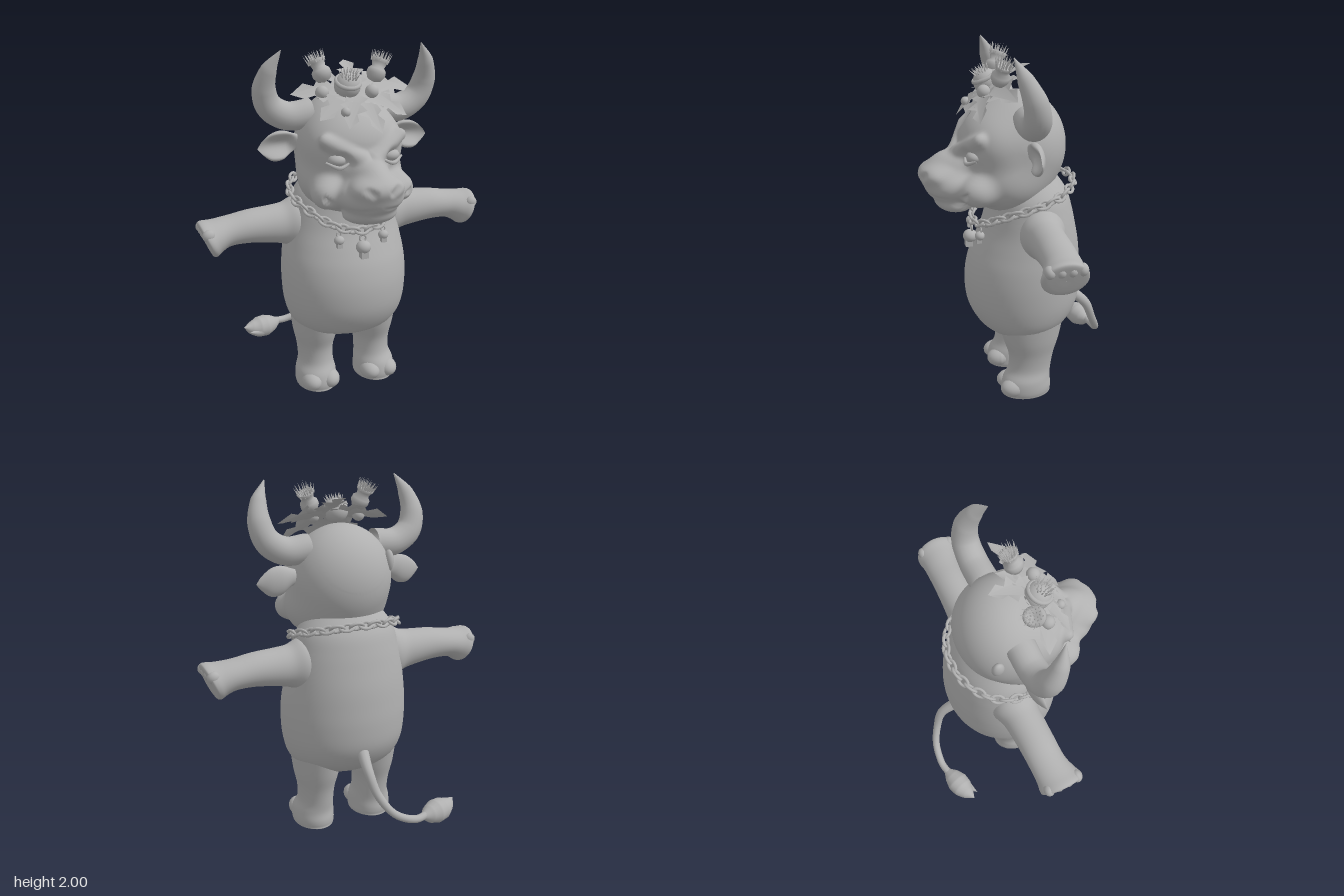
import * as THREE from 'three';
import { mergeVertices, mergeGeometries } from 'three/addons/utils/BufferGeometryUtils.js';

const clay = new THREE.MeshStandardMaterial({ color: 0xb0b0b0, side: THREE.DoubleSide });
clay.name = 'grey clay';
const V = (a) => new THREE.Vector3(...a);

// Weld seams and recompute smooth normals
function smooth(geo) {
  geo.deleteAttribute('uv');
  geo.deleteAttribute('normal');
  const g = mergeVertices(geo, 1e-5);
  g.computeVertexNormals();
  return g;
}
function deform(geo, rule) {
  const p = geo.attributes.position, v = new THREE.Vector3();
  for (let i = 0; i < p.count; i++) {
    rule(v.fromBufferAttribute(p, i), i);
    p.setXYZ(i, v.x, v.y, v.z);
  }
  return geo;
}
function mirror(geo) {
  const g = geo.clone().scale(-1, 1, 1), ix = g.index.array;
  for (let i = 0; i < ix.length; i += 3) [ix[i], ix[i + 1]] = [ix[i + 1], ix[i]];
  g.computeVertexNormals();
  return g;
}
const ball = (c, r, w = 24, h = 16) => new THREE.SphereGeometry(1, w, h).scale(...r).translate(...c);

// Loft through sections [t, a, b, ra, rb]; axis 'y' uses a=x b=z, axis 'x' uses a=z b=y
function loft(sections, axis, n = 40, steps = 5) {
  const pos = [], idx = [], last = sections.length - 1, rows = last * steps;
  for (let i = 0; i <= rows; i++) {
    const k = Math.min(Math.floor(i / steps), last - 1), f = i / steps - k;
    const at = (j) => sections[Math.max(0, Math.min(last, j))];
    const [t, a, b, ra, rb] = at(k).map((_, m) => {
      const [p, q, r, s] = [-1, 0, 1, 2].map((d) => at(k + d)[m]);
      return q + 0.5 * f * (r - p + f * (2 * p - 5 * q + 4 * r - s + f * (3 * (q - r) + s - p)));
    });
    for (let j = 0; j < n; j++) {
      const w = (j / n) * Math.PI * 2, A = a + ra * Math.cos(w), B = b + rb * Math.sin(w);
      pos.push(...(axis === 'y' ? [A, Math.max(0, t), B] : [t, B, A]));
      if (i < rows) {
        const p = i * n + j, q = i * n + (j + 1) % n;
        idx.push(p, p + n, q, q, p + n, q + n);
      }
    }
  }
  const g = new THREE.BufferGeometry();
  g.setAttribute('position', new THREE.Float32BufferAttribute(pos, 3));
  g.setIndex(idx);
  g.computeVertexNormals();
  return g;
}

// Tube whose radius follows a list of values
function sweep(points, radii, seg = 40, n = 20) {
  const curve = new THREE.CatmullRomCurve3(points.map(V));
  const g = new THREE.TubeGeometry(curve, seg, 1, n);
  return smooth(deform(g, (v, i) => {
    const t = Math.floor(i / (n + 1)) / seg, x = t * (radii.length - 1);
    const k = Math.min(Math.floor(x), radii.length - 2);
    const c = curve.getPointAt(t);
    v.sub(c).multiplyScalar(THREE.MathUtils.lerp(radii[k], radii[k + 1], x - k)).add(c);
  }));
}

// Head: sphere whose vertices are pulled onto a soft blend of ellipsoids
function headGeometry() {
  const lumps = [ // centre, radii, blend
    [0, 1.46, 0, 0.285, 0.3, 0.262, 0.05], [0, 1.3, 0.08, 0.293, 0.205, 0.24, 0.07], // skull, jaw
    [0, 1.49, 0.14, 0.265, 0.19, 0.19, 0.07], [0, 1.27, 0.37, 0.18, 0.11, 0.16, 0.06], // brow, muzzle
    [0, 1.37, 0.33, 0.1, 0.09, 0.17, 0.06], [0, 1.325, 0.46, 0.145, 0.07, 0.098, 0.03], // bridge, nose
    [0, 1.165, 0.36, 0.15, 0.055, 0.11, 0.04], [0.2, 1.26, 0.26, 0.085, 0.08, 0.1, 0.05]]; // chin, cheek
  const capsule = (p, a, b, r) => {
    const ab = b.clone().sub(a), ap = p.clone().sub(a);
    const h = THREE.MathUtils.clamp(ap.dot(ab) / ab.lengthSq(), 0, 1);
    return ap.addScaledVector(ab, -h).length() - r;
  };
  const smin = (a, b, k) => Math.min(a, b) - Math.max(k - Math.abs(a - b), 0) ** 2 / (4 * k);
  const browA = V([0.035, 1.45, 0.345]), browB = V([0.21, 1.545, 0.26]);
  const lip = [[0, 1.222, 0.54], [0.12, 1.21, 0.48], [0.19, 1.215, 0.4], [0.24, 1.26, 0.33]].map(V);
  const nostril = [V([0.06, 1.315, 0.56]), V([0.09, 1.345, 0.55])];
  const field = (q) => {
    const p = q.clone();
    p.x = Math.abs(p.x);
    let d = 1;
    for (const [x, y, z, a, b, c, k] of lumps) {
      const u = V([(p.x - x) / a, (p.y - y) / b, (p.z - z) / c]), l = u.length();
      const e = l * (l - 1) / Math.max(1e-6, V([u.x / a, u.y / b, u.z / c]).length());
      d = smin(d, e, k);
    }
    d = smin(d, capsule(p, browA, browB, 0.034), 0.03);
    const carve = (s, k) => { d = -smin(-d, s, k); };
    carve(p.distanceTo(V([0.15, 1.445, 0.345])) - 0.042, 0.03);
    carve(capsule(p, ...nostril, 0.026), 0.015);
    for (let i = 0; i < 3; i++) carve(capsule(p, lip[i], lip[i + 1], 0.011), 0.015);
    return d;
  };
  const O = V([0, 1.37, 0.12]);
  const g = smooth(new THREE.SphereGeometry(1, 128, 110).rotateX(Math.PI / 2));
  deform(g, (v) => {
    const dir = v.clone().normalize();
    let r = 0.75;
    for (let i = 0; i < 60; i++) {
      const d = field(v.copy(O).addScaledVector(dir, r));
      if (Math.abs(d) < 5e-4) break;
      r -= d * 0.75;
    }
  });
  g.computeVertexNormals();
  return g;
}

export function createModel() {
  const root = new THREE.Group();
  const add = (name, geo, parent = root) => {
    const m = new THREE.Mesh(geo, clay);
    m.name = name;
    parent.add(m);
    return m;
  };
  const pair = (name, geo) => { add(name + 'Left', geo); add(name + 'Right', mirror(geo)); };

  add('torso', loft([[0.335, 0, -0.03, 0.01, 0.01], [0.35, 0, -0.03, 0.15, 0.12], [0.385, 0, -0.01, 0.26, 0.21],
    [0.45, 0, -0.015, 0.325, 0.275], [0.55, 0, -0.02, 0.355, 0.322], [0.68, 0, -0.022, 0.365, 0.333],
    [0.8, 0, -0.03, 0.36, 0.32], [0.9, 0, -0.045, 0.345, 0.296], [1, 0, -0.058, 0.327, 0.265],
    [1.1, 0, -0.06, 0.305, 0.242], [1.2, 0, -0.055, 0.275, 0.215], [1.3, 0, -0.05, 0.2, 0.15]], 'y', 64));
  add('head', headGeometry());
  pair('eye', ball([0.15, 1.445, 0.275], [0.05, 0.034, 0.045]));
  pair('lowerEyelid', sweep([[0.09, 1.435, 0.315], [0.15, 1.41, 0.32], [0.215, 1.435, 0.28]], [0.006, 0.012, 0.006], 16, 8));

  // Limbs
  pair('leg', loft([[0, 0.185, 0, 0.001, 0.001], [0, 0.185, 0, 0.1, 0.13], [0.015, 0.185, 0, 0.117, 0.143],
    [0.05, 0.187, 0, 0.12, 0.147], [0.1, 0.186, -0.003, 0.116, 0.138], [0.16, 0.18, -0.022, 0.102, 0.126],
    [0.25, 0.18, -0.032, 0.106, 0.132], [0.35, 0.178, -0.032, 0.128, 0.162], [0.48, 0.18, -0.03, 0.14, 0.19]], 'y'));
  for (const x of [0.132, 0.238]) pair('toe', ball([x, 0.058, 0.085], [0.06, 0.055, 0.077]));
  const arm = loft([[0.2, -0.07, 1, 0.12, 0.13], [0.28, -0.067, 1.01, 0.13, 0.148], [0.35, -0.064, 1.012, 0.11, 0.12],
    [0.42, -0.062, 1.016, 0.104, 0.107], [0.55, -0.06, 1.02, 0.1, 0.093], [0.66, -0.058, 1.01, 0.1, 0.084],
    [0.73, -0.047, 0.995, 0.112, 0.09], [0.775, -0.04, 0.985, 0.125, 0.1], [0.798, -0.04, 0.98, 0.115, 0.092],
    [0.803, -0.04, 0.98, 0.06, 0.05], [0.803, -0.04, 0.98, 0.001, 0.001]], 'x');
  deform(arm, (v) => { v.x += (v.y - 0.98) * 0.38 * THREE.MathUtils.smoothstep(v.x, 0.62, 0.8); });
  arm.computeVertexNormals();
  pair('arm', arm);
  for (const z of [0.045, -0.012, -0.069, -0.124]) pair('knuckle', ball([0.795, 1.03, z], [0.036, 0.034, 0.03], 16, 12));

  // Horns and cupped ears
  pair('horn', sweep([[0.2, 1.64, 0], [0.33, 1.635, 0], [0.425, 1.69, 0.005], [0.46, 1.78, 0.025], [0.447, 1.89, 0.07],
    [0.393, 2, 0.12]], [0.08, 0.078, 0.073, 0.063, 0.042, 0.002]));
  const ear = loft([[0.24, 0, 1.49, 0.025, 0.03], [0.3, 0, 1.49, 0.035, 0.05], [0.36, 0, 1.478, 0.045, 0.08],
    [0.42, 0, 1.47, 0.038, 0.075], [0.47, 0, 1.47, 0.018, 0.037], [0.497, 0, 1.468, 0.002, 0.003]], 'x');
  deform(ear, (v) => {
    if (v.z > 0) v.z *= 1 - 1.5 * Math.max(0, 1 - ((v.y - 1.478) / 0.07) ** 2) * THREE.MathUtils.smoothstep(v.x, 0.26, 0.33);
  });
  ear.computeVertexNormals();
  pair('ear', ear);
  add('napeDrop', ball([-0.225, 1.56, -0.14], [0.026, 0.06, 0.035]));

  // Tail with pointed tuft
  add('tail', sweep([[0.02, 0.54, -0.31], [0.03, 0.45, -0.41], [0, 0.33, -0.465], [-0.08, 0.22, -0.52], [-0.2, 0.17, -0.54],
    [-0.29, 0.175, -0.525]], [0.035, 0.028, 0.024, 0.022, 0.022, 0.022], 40, 12));
  add('tailTuft', sweep([[-0.25, 0.17, -0.535], [-0.33, 0.165, -0.51], [-0.42, 0.17, -0.485], [-0.5, 0.195, -0.455]],
    [0.015, 0.05, 0.068, 0.064, 0.04, 0.002]));
  add('tuftStrand', sweep([[-0.32, 0.17, -0.49], [-0.4, 0.15, -0.455], [-0.47, 0.17, -0.42]], [0.03, 0.03, 0.001], 14, 10));

  // Chain collar
  const half = [[0.15, 1.065, 0.225], [0.26, 1.13, 0.11], [0.305, 1.18, -0.02], [0.265, 1.22, -0.17], [0.14, 1.25, -0.275]];
  const loop = new THREE.CatmullRomCurve3([[0, 1.03, 0.26], ...half, [0, 1.26, -0.305],
    ...half.map(([x, y, z]) => [-x, y, z]).reverse()].map(V), true);
  const linkGeo = new THREE.TorusGeometry(0.022, 0.0085, 8, 16).scale(1.5, 1, 1);
  const collar = new THREE.Group();
  collar.name = 'chainCollar';
  root.add(collar);
  for (let i = 0; i < 36; i++) {
    const link = add('chainLink', linkGeo, collar);
    link.position.copy(loop.getPointAt(i / 36));
    const t = loop.getTangentAt(i / 36);
    const out = V([link.position.x, 0.1, link.position.z + 0.03]).cross(t).cross(t).negate().normalize();
    link.quaternion.setFromRotationMatrix(new THREE.Matrix4().makeBasis(t, out.clone().cross(t).negate(), out.clone().negate()));
    link.quaternion.setFromRotationMatrix(new THREE.Matrix4().makeBasis(t, out.clone().cross(t), t.clone().cross(out.clone().cross(t))));
    link.rotateX(i % 2 ? 0.9 : -0.5);
  }
  for (const [x, y, z, s] of [[0, 0.94, 0.28, 1], [0.13, 0.985, 0.25, 0.68], [-0.13, 0.985, 0.25, 0.68]]) {
    const skull = new THREE.Group();
    skull.name = 'skullCharm';
    add('cranium', ball([0, 0, 0], [0.042, 0.037, 0.04]), skull);
    add('jaw', new THREE.BoxGeometry(0.042, 0.04, 0.04).translate(0, -0.04, 0.008), skull);
    add('hanger', new THREE.TorusGeometry(0.018, 0.006, 8, 14).translate(0, 0.05, -0.01), skull);
    skull.position.set(x, y, z);
    skull.scale.setScalar(s);
    root.add(skull);
  }

  // Holly leaf spray on the forehead
  const edge = [[0.05, 0.03], [0.07, 0.085], [0.12, 0.04], [0.17, 0.09], [0.2, 0.03], [0.25, 0.05]];
  const leafShape = new THREE.Shape([[0, 0], ...edge, [0.31, 0], ...edge.map(([x, y]) => [x, -y]).reverse()]
    .map(([x, y]) => new THREE.Vector2(x, y)));
  const leafGeo = deform(new THREE.ShapeGeometry(leafShape), (v) => { v.z = 0.25 * Math.abs(v.y) - 0.5 * v.x * v.x; });
  leafGeo.computeVertexNormals();
  const spray = new THREE.Group();
  spray.name = 'leafSpray';
  spray.position.set(0, 1.77, 0.16);
  spray.rotation.x = -0.93;
  root.add(spray);
  [[170, 1.1], [10, 1.1], [86, 0.85], [130, 0.7], [212, 0.9], [246, 0.8], [286, 0.88], [328, 0.95], [50, 0.65]].forEach(([a, s], i) => {
    const leaf = add('hollyLeaf', leafGeo, spray);
    leaf.rotation.z = a * Math.PI / 180;
    leaf.scale.setScalar(s);
    leaf.position.z = 0.006 * (i % 3);
  });
  for (const [x, y, z, r] of [[-0.185, 1.775, 0.15, 0.036], [0.072, 1.775, 0.205, 0.036], [-0.1, 1.69, 0.27, 0.025]])
    add('berry', ball([x, y, z], [r, r, r]));

  // Thistles: bulb, flared cup and bristles
  const cup = new THREE.LatheGeometry([[0, -0.05], [0.035, -0.04], [0.052, -0.01], [0.05, 0.015], [0.034, 0.032],
    [0.04, 0.055], [0.05, 0.075], [0.035, 0.07], [0, 0.06]].map(([x, y]) => new THREE.Vector2(x, y)), 24);
  const spikes = [];
  for (let i = 0; i < 30; i++) {
    const a = i * 2.4, r = 0.046 * Math.sqrt((i + 1) / 30);
    spikes.push(new THREE.ConeGeometry(0.005, 0.065, 5).translate(0, 0.03, 0).rotateX(r * 5)
      .rotateY(a).translate(r * Math.sin(a), 0.06, r * Math.cos(a)));
  }
  const bristles = mergeGeometries(spikes);
  for (const [p, d] of [[[-0.165, 1.865, 0.09], [-0.3, 1, -0.4]], [[0.13, 1.855, 0.125], [0.45, 1, -0.2]]]) {
    const thistle = new THREE.Group();
    thistle.name = 'thistle';
    add('thistleCup', cup, thistle);
    add('thistleBristles', bristles, thistle);
    thistle.position.set(...p);
    thistle.quaternion.setFromUnitVectors(V([0, 1, 0]), V(d).normalize());
    root.add(thistle);
  }
  const bud = new THREE.Group();
  bud.name = 'thistleBud';
  add('budBulb', ball([0, 0, 0], [0.07, 0.07, 0.07]), bud);
  add('budRim', new THREE.TorusGeometry(0.062, 0.012, 8, 28).rotateX(Math.PI / 2).translate(0, 0.025, 0), bud);
  add('budBristles', bristles.clone().scale(1, 0.5, 1).translate(0, 0.03, 0), bud);
  bud.position.set(-0.05, 1.805, 0.165);
  bud.rotation.x = 0.45;
  root.add(bud);
  return root;
}
